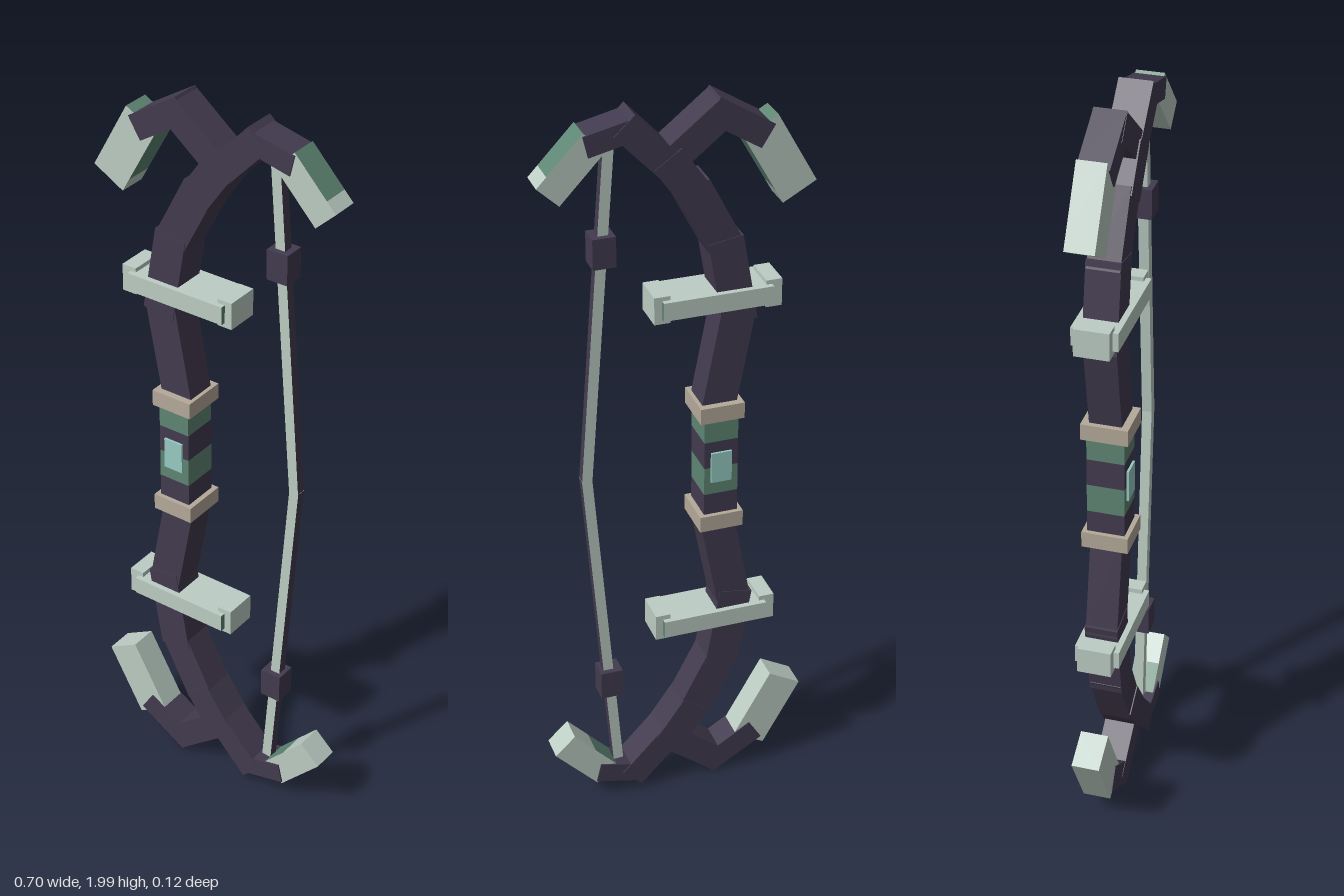
import * as THREE from 'three';

const mat = (name, color) => {
  const m = new THREE.MeshStandardMaterial({ color });
  m.name = name;
  return m;
};

export function createModel() {
  const dark = mat('dark purple wood', 0x433b4f);
  const pale = mat('pale jade', 0xbccdc4);
  const green = mat('deep green', 0x5f8674);
  const tan = mat('tan binding', 0xb5aa9b);
  const teal = mat('teal gem', 0x98ccc5);
  const model = new THREE.Group();
  model.name = 'bow';

  const box = (name, x0, x1, y0, y1, halfZ, material, parent = model) => {
    const mesh = new THREE.Mesh(new THREE.BoxGeometry(x1 - x0, y1 - y0, halfZ * 2), material);
    mesh.position.set((x0 + x1) / 2, (y0 + y1) / 2, 0);
    mesh.name = name;
    parent.add(mesh);
    return mesh;
  };

  // Rotated box between two points; side -1 mirrors it about y = 1
  const beam = (name, a, b, width, halfZ, material, side, parent) => {
    let p = new THREE.Vector2(a[0], 1 + side * (a[1] - 1));
    let q = new THREE.Vector2(b[0], 1 + side * (b[1] - 1));
    if (side < 0) [p, q] = [q, p];
    const d = q.clone().sub(p);
    const mesh = new THREE.Mesh(new THREE.BoxGeometry(width, d.length(), halfZ * 2), material);
    mesh.position.set((p.x + q.x) / 2, (p.y + q.y) / 2, 0);
    mesh.rotation.z = Math.atan2(-d.x, d.y);
    mesh.name = name;
    parent.add(mesh);
  };

  // Blade in two lengths: the base carries the green faces
  const blade = (name, a, b, width, halfZ, side, greenFace, split, parent) => {
    const m = [a[0] + (b[0] - a[0]) * split, a[1] + (b[1] - a[1]) * split];
    const faces = [pale, pale, green, green, pale, pale];
    if (greenFace >= 0) faces[greenFace] = green;
    beam(name + 'Base', a, m, width, halfZ, faces, side, parent);
    beam(name + 'Tip', m, b, width, halfZ, pale, side, parent);
  };

  for (const side of [1, -1]) {
    const half = new THREE.Group();
    half.name = side > 0 ? 'upperHalf' : 'lowerHalf';
    model.add(half);
    const flip = (y0, y1) => (side > 0 ? [y0, y1] : [2 - y1, 2 - y0]);

    // Curved limb
    beam('limb', [-0.1, 1.15], [-0.155, 1.44], 0.09, 0.042, dark, side, half);
    beam('limb', [-0.157, 1.4], [-0.117, 1.63], 0.09, 0.044, dark, side, half);
    beam('limb', [-0.128, 1.595], [-0.035, 1.775], 0.088, 0.042, dark, side, half);
    beam('limb', [-0.047, 1.75], [0.03, 1.86], 0.084, 0.045, dark, side, half);
    beam('limb', [0.01, 1.825], [0.135, 1.957], 0.072, 0.043, dark, side, half);
    beam('limbTip', [0.112, 1.943], [0.228, 1.916], 0.055, 0.04, dark, side, half);

    // Rear horn
    beam('horn', [0.03, 1.842], [-0.125, 1.966], 0.072, 0.041, dark, side, half);
    beam('hornTip', [-0.083, 1.968], [-0.222, 1.882], 0.066, 0.04, dark, side, half);

    // Blades on the horn and on the limb tip
    blade('hornBlade', [-0.204, 1.908], [-0.306, 1.727], 0.098, 0.037, side, side > 0 ? 1 : -1, side > 0 ? 0.8 : 0.15, half);
    blade('tipBlade', [0.205, 1.925], [0.32, 1.803], 0.075, 0.036, side, side > 0 ? 1 : 0, side > 0 ? 0.78 : 0.5, half);

    // Cross guard: the two guards share the same way up
    const [g0, g1] = flip(1.445, 1.494);
    const [c0, c1] = flip(1.432, 1.505);
    box('guardBar', -0.238, 0.046, g0, g1, 0.059, [green, pale, pale, green, pale, pale], half);
    for (const x of [-0.264, 0.025])
      box('guardCap', x, x + 0.041, c0, c1, 0.045, [pale, pale, pale, green, pale, pale], half);

    // String with its dark inner face, and bead
    beam('string', [0.165, 1.9], [0.235, 0.995], 0.027, 0.013, [pale, dark, pale, pale, pale, pale], side, half);
    const [b0, b1] = flip(1.595, 1.675);
    box('stringBead', 0.154, 0.213, b0, b1, 0.028, dark, half);

    // Grip collar
    const [k0, k1] = flip(1.138, 1.182);
    box('gripCollar', -0.166, -0.05, k0, k1, 0.061, tan, half);
  }

  // Banded grip
  const levels = [0.86, 0.922, 1.0, 1.075, 1.14];
  for (let i = 0; i < 4; i++)
    box('gripBand', -0.154, -0.064, levels[i], levels[i + 1], 0.049, i % 2 ? green : dark);

  // Gem plates on front and back
  for (const z of [0.051, -0.051]) {
    const gem = box('gripGem', -0.136, -0.081, 0.958, 1.044, 0.004, teal);
    gem.position.z = z;
  }
  return model;
}
